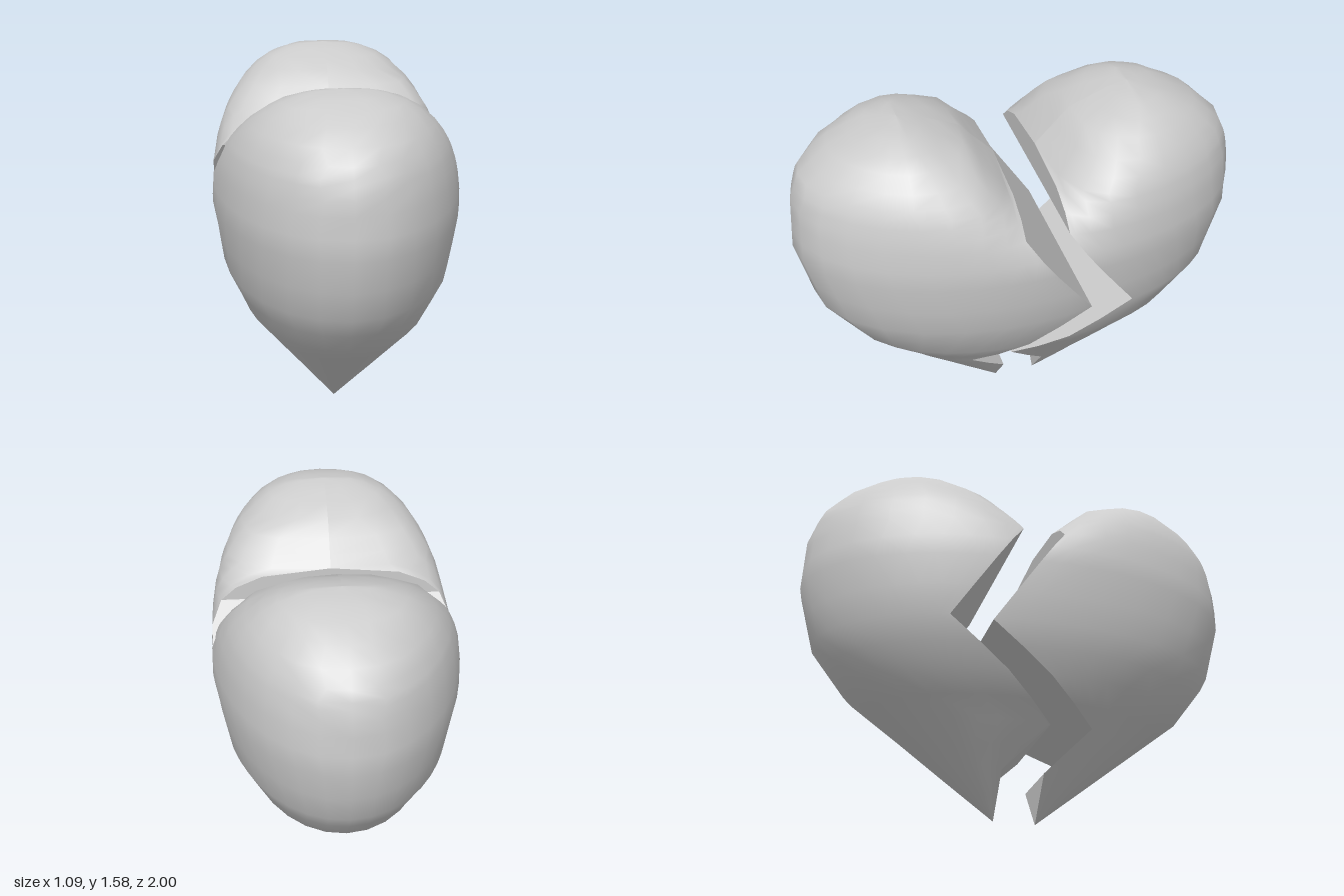
import * as THREE from 'three';

// Piecewise-linear lookup in a list of [key, value] pairs
function lookup(points, k) {
  for (let i = 1; i < points.length; i++) {
    const [k0, v0] = points[i - 1], [k1, v1] = points[i];
    if (k <= k1) return v0 + (v1 - v0) * Math.max(0, (k - k0) / (k1 - k0));
  }
  return points[points.length - 1][1];
}

// Heart outline: height of the widest level, [z, y] along the top of a lobe
const MID = 1.01, MAX_Z = 0.905, RATIO = 0.6, GAP = 0.095;
const lobe = [[0, 1.33], [0.155, 1.49], [0.325, 1.56], [0.415, 1.58],
  [0.535, 1.565], [0.715, 1.49], [0.845, 1.375], [0.89, 1.25], [MAX_Z, MID]];
const swap = ([a, b]) => [b, a];
const innerLobe = lobe.slice(0, 4).map(swap);
const outer = [[0, 0], [0.54, 0.685], [0.74, 0.835], ...lobe.slice(3).reverse().map(swap)];

// Zig-zag break, [y, z]
const crack = [[0, 0], [0.19, 0], [0.372, 0.185], [0.74, -0.315], [1.19, 0], [1.33, 0]];

const rows = [0, 0.1, 0.19, 0.28, 0.372, 0.45, 0.54, 0.64, 0.74, 0.87, MID, 1.1, 1.19,
  1.25, 1.3, 1.33, 1.375, 1.43, 1.49, 1.53, 1.56, 1.573, 1.58];

// Half thickness of the heart at (z, y)
function thickness(z, y) {
  const a = Math.abs(z);
  const w = y < MID ? lookup(outer, y) : MAX_Z;
  const base = RATIO * Math.sqrt(Math.max(0, w * w - a * a));
  if (y <= MID) return base;
  const h = (y - MID) / Math.max(1e-4, lookup(lobe, a) - MID);
  return h >= 1 ? 0 : base * Math.pow(1 - Math.pow(h, 2.6), 1 / 2.6);
}

// Joins equal-length rows of points into a surface
function loft(grid, flip) {
  const n = grid[0].length, index = [];
  for (let i = 0; i < grid.length - 1; i++) {
    for (let j = 0; j < n - 1; j++) {
      const a = i * n + j, b = a + 1, c = a + n, d = c + 1;
      if (flip) index.push(a, b, c, b, d, c);
      else index.push(a, c, b, b, c, d);
    }
  }
  const geo = new THREE.BufferGeometry();
  geo.setAttribute('position', new THREE.Float32BufferAttribute(grid.flat(2), 3));
  geo.setIndex(index);
  geo.computeVertexNormals();
  return geo;
}

// One half of the heart: side +1 is the front, -1 the back
function makeHalf(side, name) {
  const steps = 10;
  const shellRows = [], wallRows = [];
  for (const y of rows) {
    const zIn = y <= 1.33 ? side * lookup(crack, y) : lookup(innerLobe, y);
    const zOut = lookup(outer, y);
    const ring = [];
    for (let j = 0; j <= 2 * steps; j++) {
      const s = 1 - Math.abs(j - steps) / steps;
      const z = zIn + (zOut - zIn) * (1 - Math.cos(Math.PI * s)) / 2;
      const x = j === steps ? 0 : Math.sign(steps - j) * thickness(z, y);
      ring.push([x, y, side * (z + GAP)]);
    }
    shellRows.push(ring);
    if (y <= 1.33) wallRows.push([ring[0], ring[2 * steps]]);
  }
  const half = new THREE.Group();
  half.name = name;
  const shell = new THREE.Mesh(loft(shellRows, side < 0),
    new THREE.MeshStandardMaterial({ color: 0xcccccc }));
  shell.name = name + 'Shell';
  const wall = new THREE.Mesh(loft(wallRows, side > 0),
    new THREE.MeshStandardMaterial({ color: 0xcccccc, flatShading: true }));
  wall.name = name + 'BreakFace';
  half.add(shell, wall);
  return half;
}

export function createModel() {
  const heart = new THREE.Group();
  heart.name = 'brokenHeart';
  heart.add(makeHalf(1, 'frontHalf'), makeHalf(-1, 'backHalf'));
  return heart;
}
